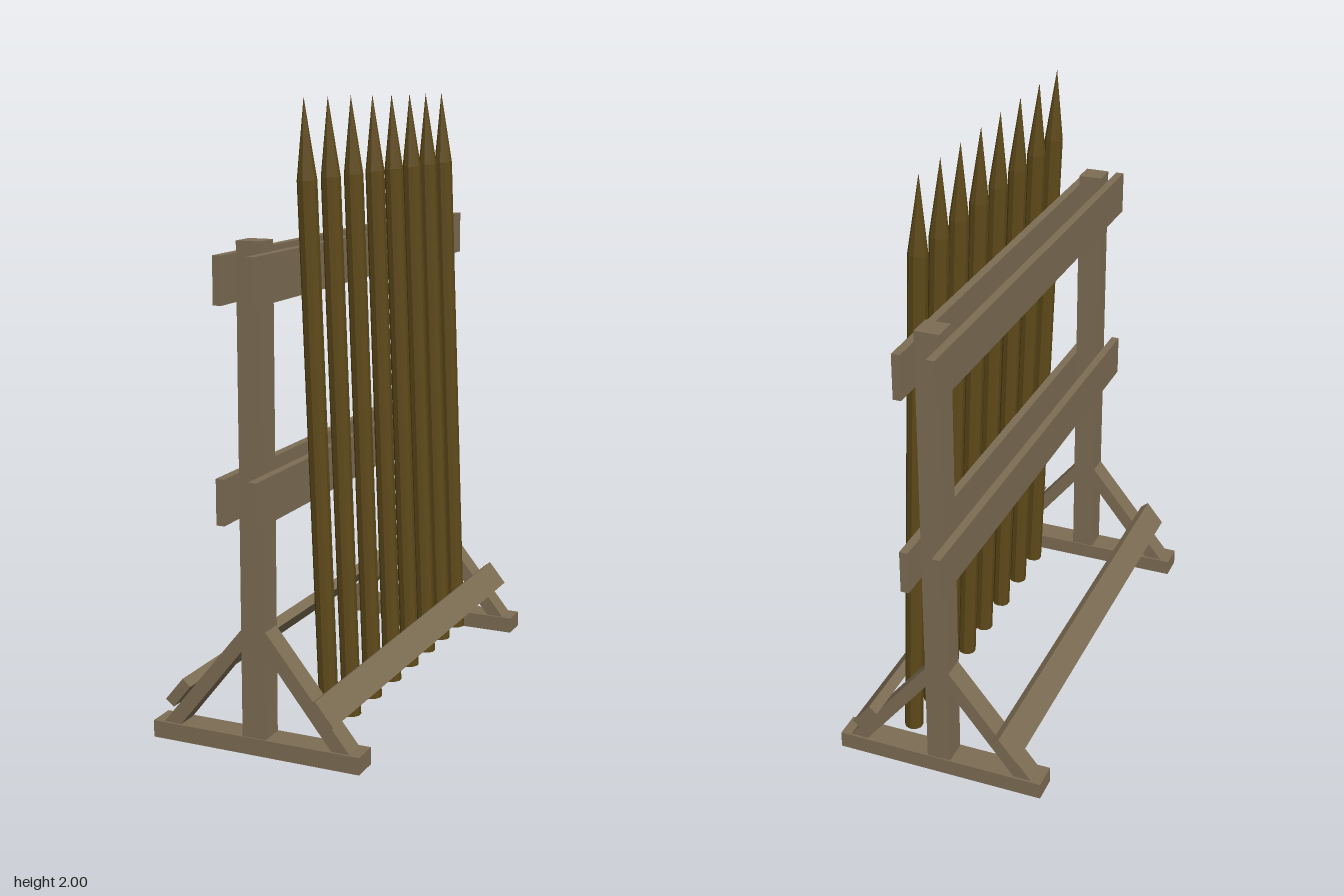
import * as THREE from 'three';

export function createModel() {
  const model = new THREE.Group();
  model.name = 'palisadeBarrier';
  const wood = new THREE.MeshStandardMaterial({ color: 0x7d6d54, flatShading: true });
  const stakeWood = new THREE.MeshStandardMaterial({ color: 0x5e4919, flatShading: true });

  const add = (name, geometry, x, y, z, parent = model, material = wood) => {
    const mesh = new THREE.Mesh(geometry, material);
    mesh.name = name;
    mesh.position.set(x, y, z);
    parent.add(mesh);
    return mesh;
  };
  const box = (w, h, d) => new THREE.BoxGeometry(w, h, d);

  // Diagonal brace outline, cut flush with the post and the foot
  const braceGeometry = (side) => {
    const shape = new THREE.Shape(
      [[0.04, 0.4], [0.32, 0.055], [0.26, 0.055], [0.04, 0.33]]
        .map(([x, y]) => new THREE.Vector2(side * x, y)));
    return new THREE.ExtrudeGeometry(shape, { depth: 0.074, bevelEnabled: false }).translate(0, 0, -0.037);
  };

  // End frames: foot, post and two braces
  for (const end of [1, -1]) {
    const frame = new THREE.Group();
    frame.name = end > 0 ? 'frontFrame' : 'backFrame';
    frame.position.z = end * 0.695;
    model.add(frame);
    add('foot', box(0.71, 0.055, 0.09), 0, 0.0275, 0, frame);
    add('post', box(0.08, 1.53, 0.082), 0, 0.82, 0, frame);
    add('leftBrace', braceGeometry(1), 0, 0, 0, frame);
    add('rightBrace', braceGeometry(-1), 0, 0, 0, frame);
  }

  // Rails on both faces of the posts, and planks resting on the braces
  for (const side of [1, -1]) {
    const label = side > 0 ? 'left' : 'right';
    add(label + 'UpperRail', box(0.027, 0.145, 1.66), side * 0.0535, 1.4775, 0);
    add(label + 'LowerRail', box(0.027, 0.142, 1.66), side * 0.0535, 0.82, 0);
    const plank = add(label + 'BracePlank', box(0.096, 0.035, 1.55), side * 0.2435, 0.177, 0);
    plank.rotation.z = -side * Math.atan2(0.345, 0.28);
  }

  // Leaning pointed stakes
  const foot = new THREE.Vector3(0.165, 0.027, 0);
  const tip = new THREE.Vector3(0.085, 1.995, 0);
  const length = foot.distanceTo(tip);
  const profile = [[0, 0], [0.031, 0], [0.031, length - 0.245], [0, length]]
    .map(([r, y]) => new THREE.Vector2(r, y));
  const stakeGeometry = new THREE.LatheGeometry(profile, 10);
  const lean = Math.atan2(foot.x - tip.x, tip.y - foot.y);
  [0.538, 0.372, 0.203, 0.035, -0.122, -0.278, -0.425, -0.575].forEach((z, i) => {
    const stake = add('stake' + (i + 1), stakeGeometry, foot.x, foot.y, z, model, stakeWood);
    stake.rotation.z = lean;
  });

  return model;
}
